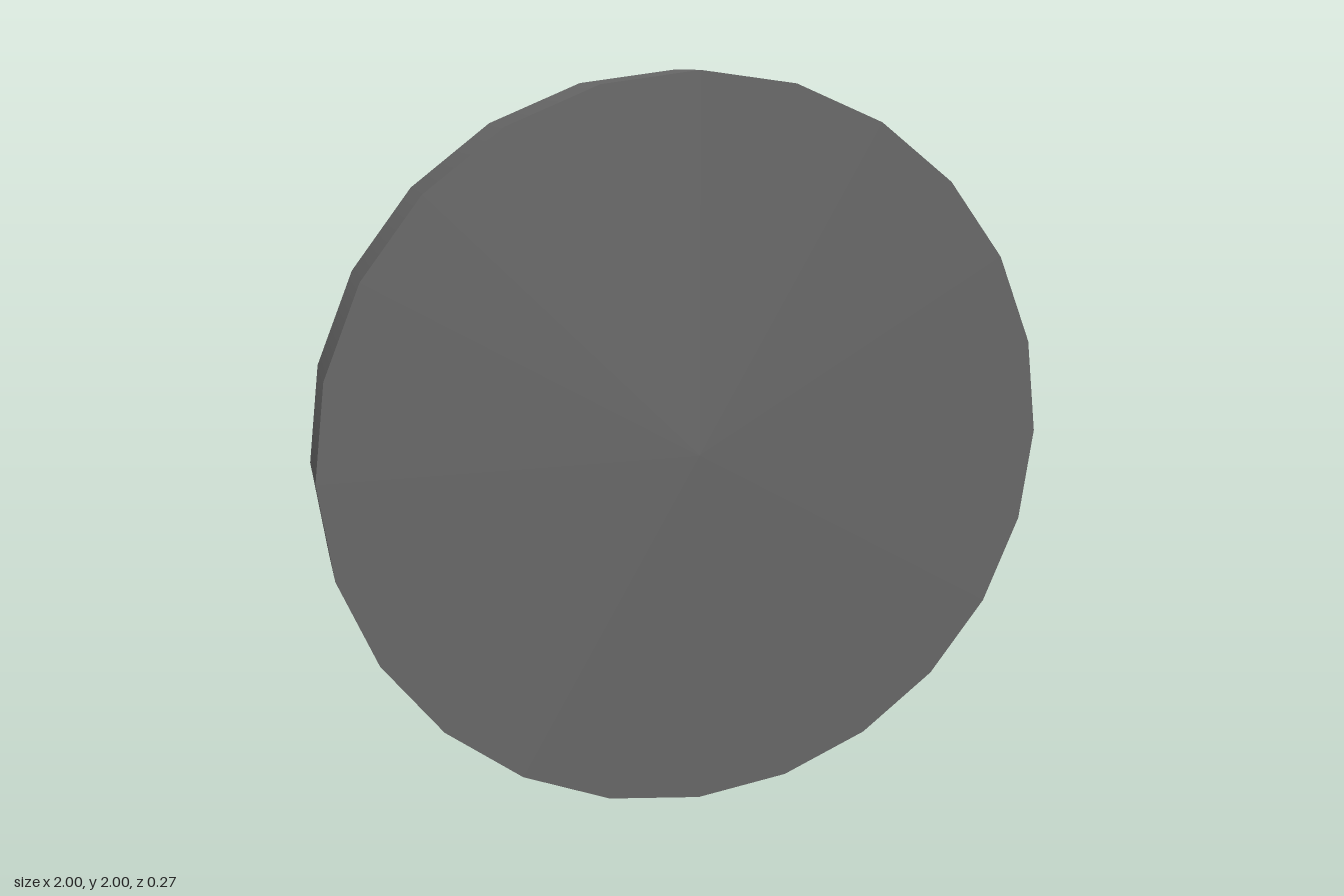
import * as THREE from 'three';

export function createModel() {
  const clock = new THREE.Group();
  clock.name = 'wallClock';
  const grey = new THREE.MeshStandardMaterial({ color: 0x666666 });
  const red = new THREE.MeshStandardMaterial({ color: 0x9c3a36 });
  const brass = new THREE.MeshStandardMaterial({ color: 0x8a5a35 });

  const add = (name, geometry, material, x, y, z, parent = clock) => {
    const mesh = new THREE.Mesh(geometry, material);
    mesh.name = name;
    mesh.position.set(x, y, z);
    parent.add(mesh);
    return mesh;
  };

  // Round case; the dial is on its -z side
  const backZ = -0.09, frontZ = 0.136;
  const disc = new THREE.CylinderGeometry(1, 1, frontZ - backZ, 24).rotateX(Math.PI / 2);
  add('case', disc, grey, 0, 1, (frontZ + backZ) / 2);

  // Twelve hour markers
  const markers = new THREE.Group();
  markers.name = 'hourMarkers';
  clock.add(markers);
  const markerShape = new THREE.BoxGeometry(0.04, 0.1, 0.014);
  for (let i = 0; i < 12; i++) {
    const a = (i / 12) * Math.PI * 2;
    const marker = add('hourMarker', markerShape, red,
      Math.sin(a) * 0.78, 1 + Math.cos(a) * 0.78, backZ - 0.003, markers);
    marker.rotation.z = -a;
  }

  // Hands, each with a short tail past the pivot
  add('hourHand', new THREE.BoxGeometry(0.66, 0.04, 0.01), red, 0.23, 1, -0.11);
  add('minuteHand', new THREE.BoxGeometry(0.04, 1, 0.01), red, 0, 0.65, -0.123);

  // Pivot pin
  const pin = new THREE.CylinderGeometry(0.012, 0.012, 0.047, 12).rotateX(Math.PI / 2);
  add('pivotPin', pin, brass, 0, 1, backZ - 0.0225);

  return clock;
}
